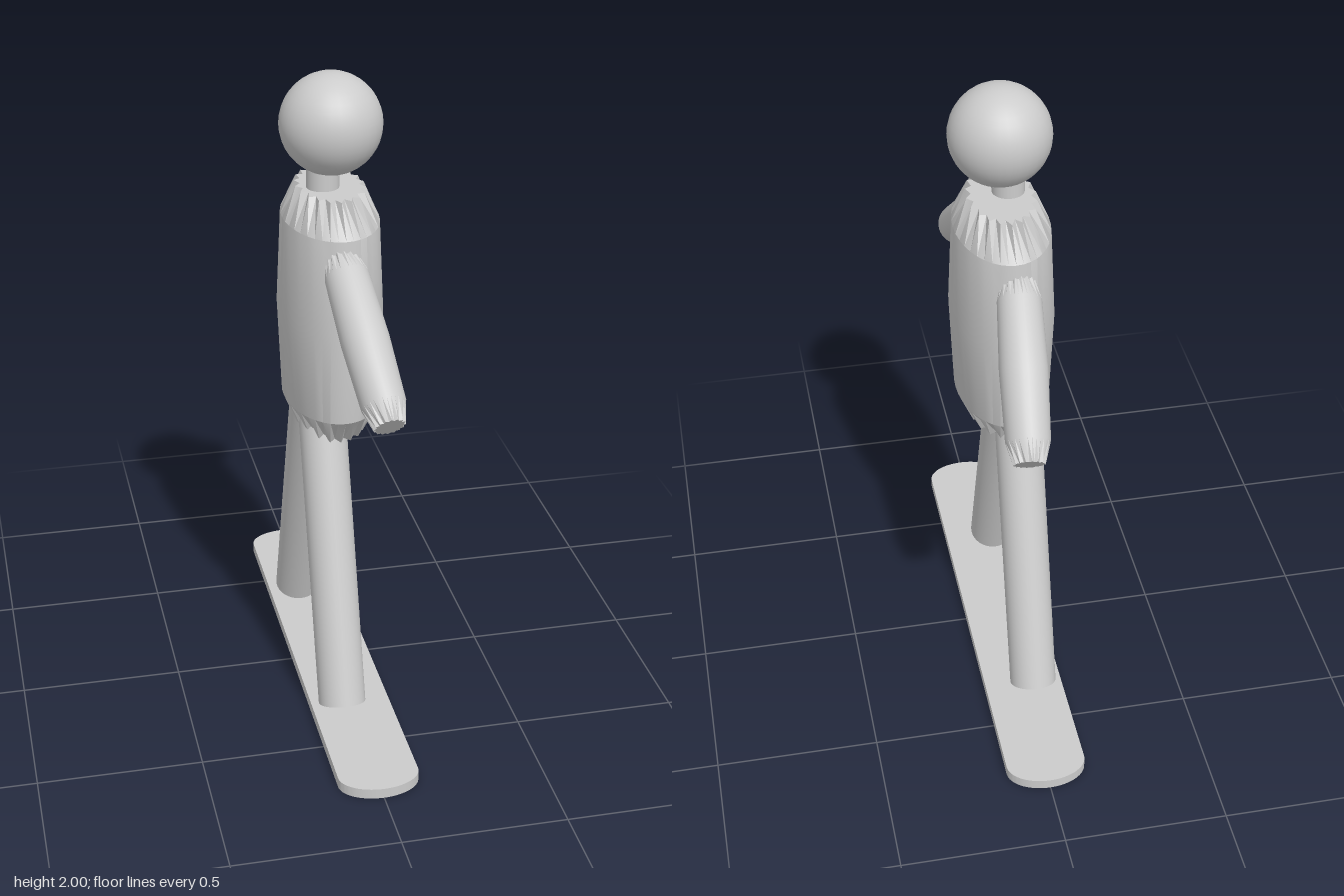
import * as THREE from 'three';
import { toCreasedNormals } from 'three/addons/utils/BufferGeometryUtils.js';

const material = new THREE.MeshStandardMaterial({ color: 0xcccccc, side: THREE.DoubleSide });

function add(parent, name, geometry) {
  const mesh = new THREE.Mesh(geometry, material);
  mesh.name = name;
  parent.add(mesh);
  return mesh;
}

// Unit-height barrel whose two ends are gathered into pleats
function pleatedBarrel(segments) {
  const profile = [[0, -0.5], [0.66, -0.5], [0.92, -0.377], [1, 0], [0.92, 0.377], [0.66, 0.5], [0, 0.5]]
    .map(([r, y]) => new THREE.Vector2(r, y));
  const geometry = new THREE.LatheGeometry(profile, segments);
  const pos = geometry.attributes.position;
  for (let i = 1; i < segments; i += 2) {
    for (const j of [1, 5]) {
      const k = i * profile.length + j;
      pos.setX(k, pos.getX(k) * 0.84);
      pos.setZ(k, pos.getZ(k) * 0.84);
    }
  }
  return geometry;
}

// Place a y-aligned mesh so that it runs from one point to another
function span(mesh, from, to) {
  const a = new THREE.Vector3(...from), b = new THREE.Vector3(...to);
  mesh.position.copy(a).lerp(b, 0.5);
  mesh.quaternion.setFromUnitVectors(new THREE.Vector3(0, 1, 0), b.sub(a).normalize());
}

export function createModel() {
  const model = new THREE.Group();
  model.name = 'boarder';

  // Board with rounded ends
  const outline = new THREE.Shape();
  outline.absellipse(0, 0.707, 0.123, 0.08, 0, Math.PI);
  outline.absellipse(0, -0.707, 0.123, 0.08, Math.PI, 2 * Math.PI);
  outline.closePath();
  const board = new THREE.ExtrudeGeometry(outline, { depth: 0.032, bevelEnabled: false, curveSegments: 20 });
  board.rotateX(-Math.PI / 2);
  add(model, 'board', toCreasedNormals(board, 0.6));

  // Legs
  const legs = [
    ['frontLeg', [-0.035, 0.065, 0.365], [-0.035, 0.98, 0.05]],
    ['backLeg', [-0.028, 0.058, -0.38], [-0.038, 0.98, -0.035]],
  ];
  for (const [name, foot, hip] of legs) {
    const length = new THREE.Vector3(...foot).distanceTo(new THREE.Vector3(...hip));
    span(add(model, name, new THREE.CylinderGeometry(0.073, 0.073, length, 32)), foot, hip);
  }

  // Torso, flattened across x
  const torso = pleatedBarrel(40);
  torso.scale(0.156, 0.775, 0.254);
  add(model, 'torso', toCreasedNormals(torso, 0.5)).position.set(0, 1.267, 0.015);

  // Arms
  const arms = [
    ['frontArm', [0.037, 1.156, 0.642], [-0.008, 1.5, 0.212]],
    ['backArm', [0.037, 1.138, -0.597], [-0.012, 1.49, -0.18]],
  ];
  for (const [name, wrist, shoulder] of arms) {
    const length = new THREE.Vector3(...wrist).distanceTo(new THREE.Vector3(...shoulder));
    const arm = pleatedBarrel(32);
    arm.scale(0.071, length, 0.071);
    span(add(model, name, toCreasedNormals(arm, 0.5)), wrist, shoulder);
  }

  // Neck and head
  add(model, 'neck', new THREE.CylinderGeometry(0.049, 0.049, 0.2, 32)).position.set(-0.025, 1.65, 0.035);
  add(model, 'head', new THREE.SphereGeometry(0.153, 32, 20)).position.set(0, 1.847, 0.032);

  return model;
}
